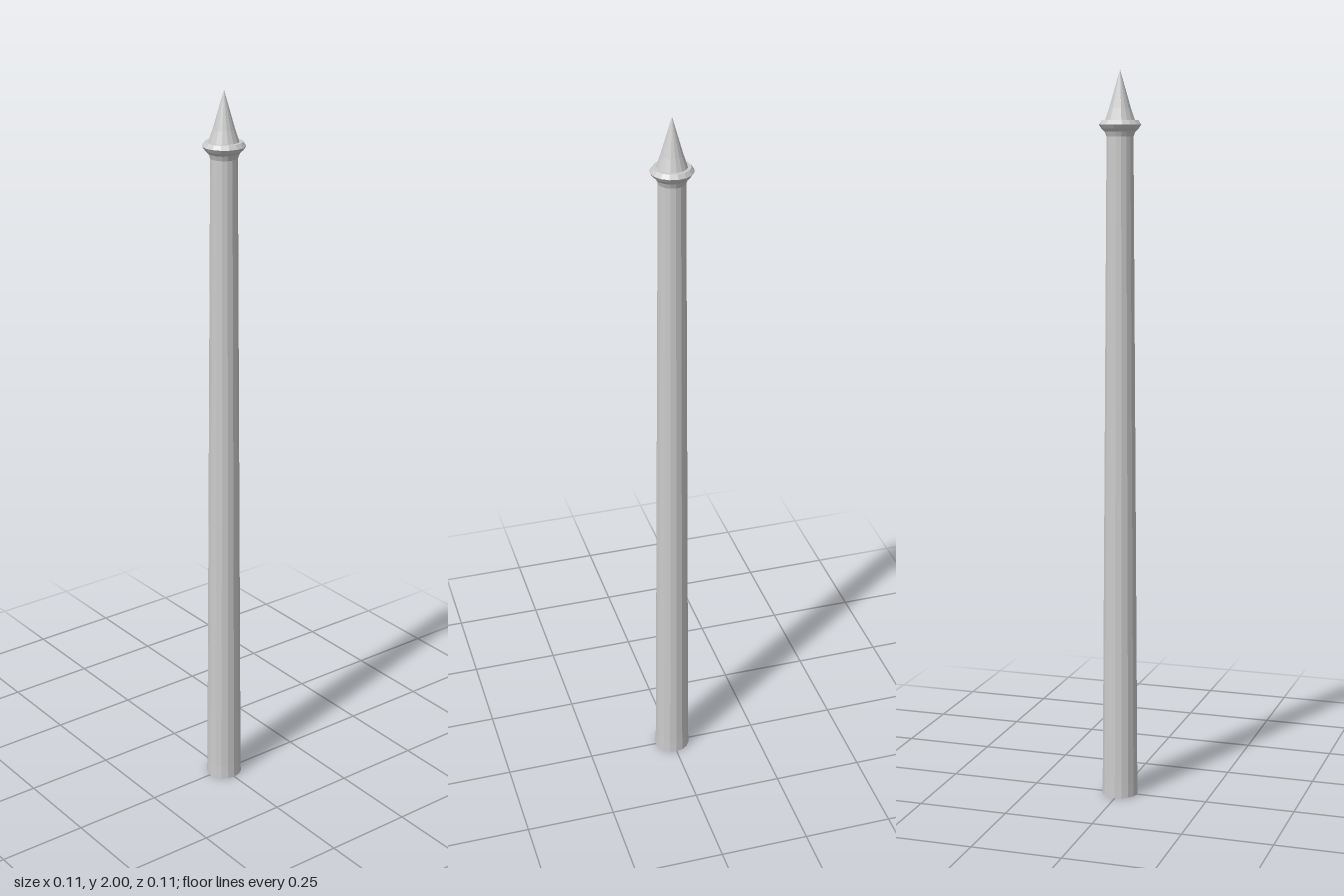
import * as THREE from 'three';

const SIDES = 16;

export function createModel() {
  const group = new THREE.Group();
  const material = new THREE.MeshStandardMaterial({ color: 0xcccccc, flatShading: true });

  // Turned part from [radius, height] points, listed bottom to top
  const turned = (name, profile) => {
    const points = profile.map(([r, y]) => new THREE.Vector2(r, y));
    const mesh = new THREE.Mesh(new THREE.LatheGeometry(points, SIDES), material);
    mesh.name = name;
    group.add(mesh);
  };

  // Long tapering post with a closed foot
  turned('shaft', [[0, 0], [0.05, 0], [0.049, 0.04], [0.036, 1.825]]);

  // Flared ring with a flat top
  turned('collar', [[0.036, 1.825], [0.041, 1.838], [0.05, 1.847], [0.057, 1.857], [0.049, 1.868], [0, 1.868]]);

  // Slightly concave pointed tip
  turned('spike', [[0.04, 1.868], [0.029, 1.9], [0.016, 1.945], [0, 2]]);

  return group;
}
